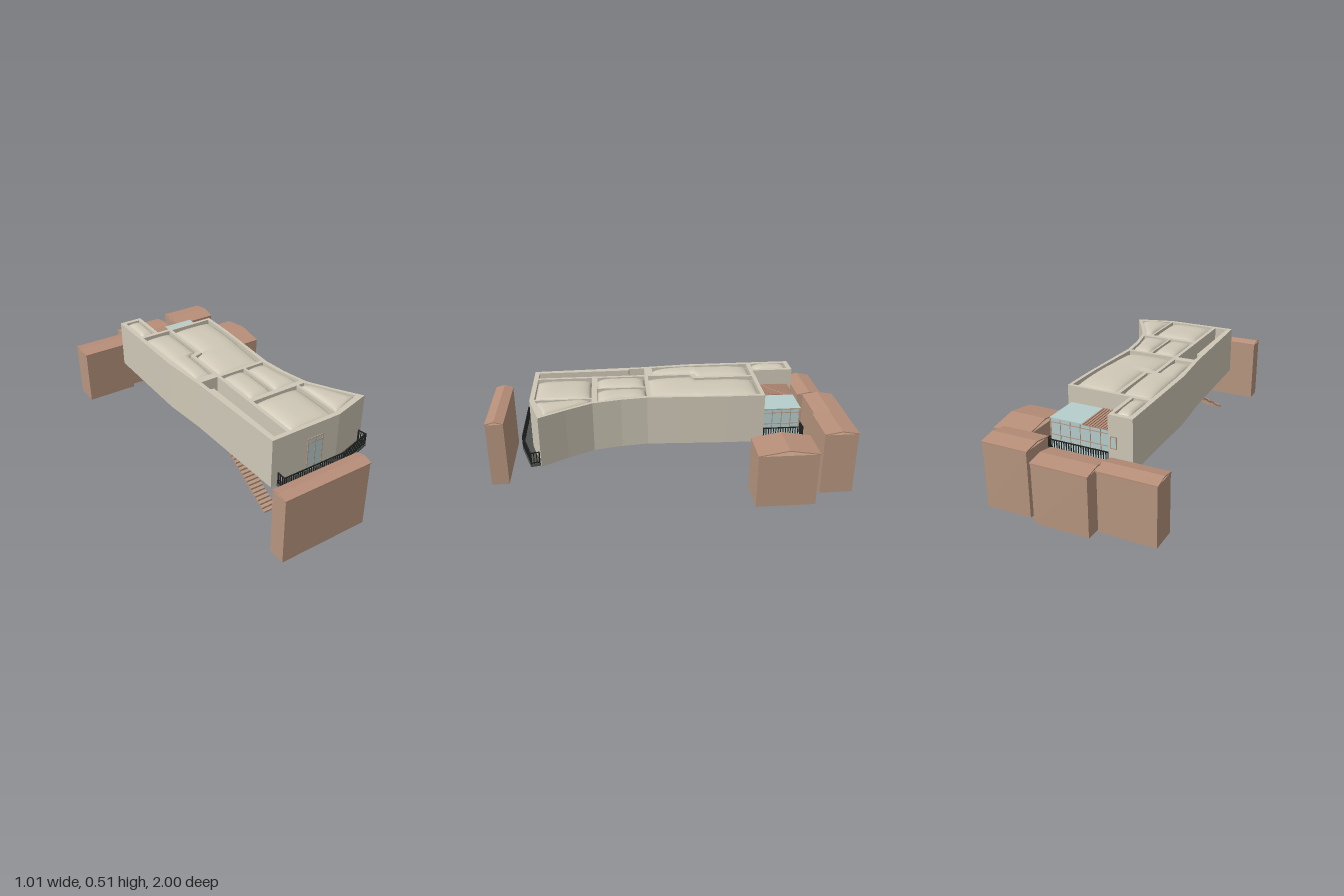
import * as THREE from 'three';

const mat = (name, color, side = THREE.FrontSide) => {
  const m = new THREE.MeshStandardMaterial({ color, side });
  m.name = name;
  return m;
};

export function createModel() {
  const root = new THREE.Group();
  root.name = 'raisedBuilding';
  const concrete = mat('pale concrete', 0xcfc8b7, THREE.DoubleSide);
  const brown = mat('clay brown', 0xb79680);
  const tile = mat('roof tile', 0xb88f79);
  const glass = mat('pale glass', 0xb6cecd);
  const slabGrey = mat('dark slab', 0x50544f);
  const black = mat('railing black', 0x202322);

  const add = (name, geo, m, parent = root) => {
    const mesh = new THREE.Mesh(geo, m);
    mesh.name = name;
    parent.add(mesh);
    return mesh;
  };
  const group = (name) => {
    const g = new THREE.Group();
    g.name = name;
    root.add(g);
    return g;
  };
  // box given by its extents
  const box = (name, x0, x1, y0, y1, z0, z1, m, parent) => add(name,
    new THREE.BoxGeometry(x1 - x0, y1 - y0, z1 - z0)
      .translate((x0 + x1) / 2, (y0 + y1) / 2, (z0 + z1) / 2), m, parent);
  // vertical prism over a plan of [x, z] points
  const toV2 = (pts) => pts.map(([x, z]) => new THREE.Vector2(x, -z));
  const prism = (pts, y0, y1, holes = []) => {
    const s = new THREE.Shape(toV2(pts));
    holes.forEach((h) => s.holes.push(new THREE.Path(toV2(h))));
    return new THREE.ExtrudeGeometry(s, { depth: y1 - y0, bevelEnabled: false })
      .rotateX(-Math.PI / 2).translate(0, y0, 0);
  };

  // Roof cells as rows of [z, left x, right x]
  const cells = [
    [[-0.705, -0.26, -0.175], [-0.505, -0.26, -0.175]],
    [[-0.48, -0.26, -0.09], [-0.17, -0.258, -0.09], [-0.155, -0.258, -0.14], [0.08, -0.245, -0.14]],
    [[-0.48, -0.07, 0.182], [-0.25, -0.07, 0.178], [-0.145, -0.07, 0.172], [-0.13, -0.12, 0.171], [0.11, -0.12, 0.155]],
    [[0.13, -0.12, 0.025], [0.395, -0.12, 0.025]],
    [[0.13, 0.037, 0.155], [0.25, 0.037, 0.168], [0.395, 0.037, 0.2]],
    [[0.425, -0.12, 0.155], [0.725, -0.12, 0.155]],
    [[0.425, 0.168, 0.205], [0.665, 0.168, 0.345], [0.72, 0.168, 0.175]],
  ];
  const stairWell = [[0.125, -0.24, -0.14], [0.21, -0.238, -0.14], [0.215, -0.218, -0.14], [0.725, -0.213, -0.14]];
  const planOf = (rows) => [
    ...rows.map(([z, l]) => [l, z]),
    ...rows.slice().reverse().map(([z, , r]) => [r, z]),
  ];

  // Walls and ribs, open through every cell
  const outline = [
    [-0.285, -0.73], [-0.155, -0.73], [-0.155, -0.5], [0.2, -0.5], [0.198, -0.3], [0.186, -0.05],
    [0.177, 0.13], [0.192, 0.27], [0.225, 0.42], [0.3, 0.555], [0.383, 0.69], [0.165, 0.75],
    [-0.24, 0.75], [-0.262, 0.13], [-0.285, -0.13],
  ];
  add('walls', prism(outline, 0.23, 0.505, [...cells, stairWell].map(planOf)), concrete);

  // Bulging roof cushion lofted across a cell
  const cushion = (rows) => {
    const n = 40, k = 18, pos = [], idx = [];
    const z0 = rows[0][0], z1 = rows[rows.length - 1][0];
    for (let i = 0; i <= n; i++) {
      const v = i / n, z = z0 + (z1 - z0) * v;
      let a = 0;
      while (a < rows.length - 2 && z > rows[a + 1][0]) a++;
      const t = (z - rows[a][0]) / (rows[a + 1][0] - rows[a][0]);
      const l = rows[a][1] + (rows[a + 1][1] - rows[a][1]) * t;
      const r = rows[a][2] + (rows[a + 1][2] - rows[a][2]) * t;
      for (let j = 0; j <= k; j++) {
        const u = j / k;
        const b = (1 - Math.abs(2 * u - 1) ** 3) * (1 - Math.abs(2 * v - 1) ** 4);
        pos.push(l + (r - l) * u, 0.478 + 0.036 * Math.sqrt(Math.max(0, b)), z);
        if (i < n && j < k) {
          const p = i * (k + 1) + j, q = p + k + 1;
          idx.push(p, q, p + 1, p + 1, q, q + 1);
        }
      }
    }
    const g = new THREE.BufferGeometry();
    g.setAttribute('position', new THREE.Float32BufferAttribute(pos, 3));
    g.setIndex(idx);
    g.computeVertexNormals();
    return g;
  };
  const roof = group('roofCushions');
  const floors = group('floorPanels');
  cells.forEach((c) => {
    add('roofCushion', cushion(c), concrete, roof);
    add('floorPanel', prism(planOf(c), 0.226, 0.238), brown, floors);
  });
  box('stairLanding', -0.238, -0.14, 0.226, 0.238, 0.125, 0.25, brown, floors);

  // Open stair down to the ground
  const stair = group('stair');
  const steps = 20;
  for (let i = 0; i < steps; i++) {
    const z = 0.275 + i * 0.02, y = 0.222 - i * 0.0112;
    box('step', -0.215, -0.14, Math.max(0, y - 0.011), y, z, z + 0.021, brown, stair);
  }

  // Row of posts with rails along a plan path
  const railing = (name, path, y0, y1) => {
    const g = group(name);
    for (let i = 0; i < path.length - 1; i++) {
      const [ax, az] = path[i], [bx, bz] = path[i + 1];
      const len = Math.hypot(bx - ax, bz - az), n = Math.max(1, Math.round(len / 0.0135));
      const turn = -Math.atan2(bz - az, bx - ax);
      for (const y of [y0 + 0.006, y1 - 0.003]) {
        const rail = add('rail', new THREE.BoxGeometry(len, 0.005, 0.005), black, g);
        rail.position.set((ax + bx) / 2, y, (az + bz) / 2);
        rail.rotation.y = turn;
      }
      for (let j = 0; j <= n; j++) {
        const t = j / n, w = j % n ? 0.004 : 0.007;
        const post = add('post', new THREE.BoxGeometry(w, y1 - y0, w), black, g);
        post.position.set(ax + (bx - ax) * t, (y0 + y1) / 2, az + (bz - az) * t);
        post.rotation.y = turn;
      }
    }
  };

  // Front balcony
  add('balconySlab', prism([[-0.205, 0.75], [0.165, 0.75], [0.365, 0.695], [0.377, 0.745],
    [0.17, 0.807], [-0.205, 0.807]], 0.226, 0.24), slabGrey);
  railing('balconyRailing', [[-0.2, 0.755], [-0.2, 0.802], [0.169, 0.802], [0.371, 0.742], [0.362, 0.7]], 0.24, 0.306);

  // Glazed panel with thin frame bars, laid flat on z = 0
  const glazing = (name, w, h, cols, rowsAt) => {
    const g = group(name);
    box('pane', -w / 2, w / 2, 0, h, -0.002, 0.002, glass, g);
    for (let i = 0; i <= cols; i++) {
      const x = -w / 2 + (w * i) / cols;
      box('mullion', x - 0.002, x + 0.002, 0, h, -0.004, 0.004, brown, g);
    }
    for (const y of [0, ...rowsAt, h]) box('transom', -w / 2, w / 2, y - 0.002, y + 0.002, -0.004, 0.004, brown, g);
    return g;
  };
  glazing('balconyDoor', 0.09, 0.19, 2, [0.165]).position.set(0.02, 0.24, 0.751);
  glazing('backWindow', 0.03, 0.06, 1, []).position.set(-0.185, 0.335, -0.731);

  // Rear terrace with its glazed room
  box('terraceSlab', -0.155, 0.2, 0.23, 0.24, -0.73, -0.5, concrete);
  box('terraceSoffit', -0.14, 0.185, 0.226, 0.231, -0.71, -0.51, brown);
  railing('terraceRailing', [[-0.15, -0.722], [0.193, -0.722], [0.193, -0.505]], 0.24, 0.306);
  glazing('glassRoomBack', 0.335, 0.17, 6, [0.085, 0.15]).position.set(0.0125, 0.24, -0.7);
  const side = glazing('glassRoomSide', 0.2, 0.17, 4, [0.085, 0.15]);
  side.position.set(0.18, 0.24, -0.6);
  side.rotation.y = Math.PI / 2;
  box('glassRoof', 0, 0.182, 0.408, 0.414, -0.705, -0.5, glass);
  box('tiledRoof', -0.155, 0, 0.408, 0.413, -0.705, -0.5, tile);
  for (let i = 0; i < 10; i++) {
    const x = -0.147 + i * 0.0155;
    box('tileRib', x - 0.004, x + 0.004, 0.412, 0.418, -0.707, -0.5, tile);
  }

  // Neighbouring houses: [x0, x1, z0, z1, wall height, ridge height]
  const houses = [
    [-0.35, 0.158, 0.9, 1.0, 0.366, 0.386],
    [-0.508, -0.2, -0.935, -0.79, 0.315, 0.336],
    [-0.197, 0.108, -1.0, -0.82, 0.315, 0.336],
    [0.14, 0.398, -0.97, -0.785, 0.35, 0.371],
    [0.296, 0.507, -0.737, -0.413, 0.298, 0.33],
  ];
  houses.forEach(([x0, x1, z0, z1, h, ridge]) => {
    const g = group('house');
    const e = 0.004, zm = (z0 + z1) / 2, t = 0.006;
    box('houseBody', x0 + e, x1 - e, 0, h, z0 + e / 2, z1 - e / 2, brown, g);
    // thin folded roof, open at the gables
    const s = new THREE.Shape(toV2([[-z0, -h], [-zm, -(ridge - t)], [-z1, -h],
      [-z1, -(h + t)], [-zm, -ridge], [-z0, -(h + t)]]));
    add('houseRoof', new THREE.ExtrudeGeometry(s, { depth: x1 - x0, bevelEnabled: false })
      .rotateY(Math.PI / 2).translate(x0, 0, 0), tile, g);
  });
  return root;
}
